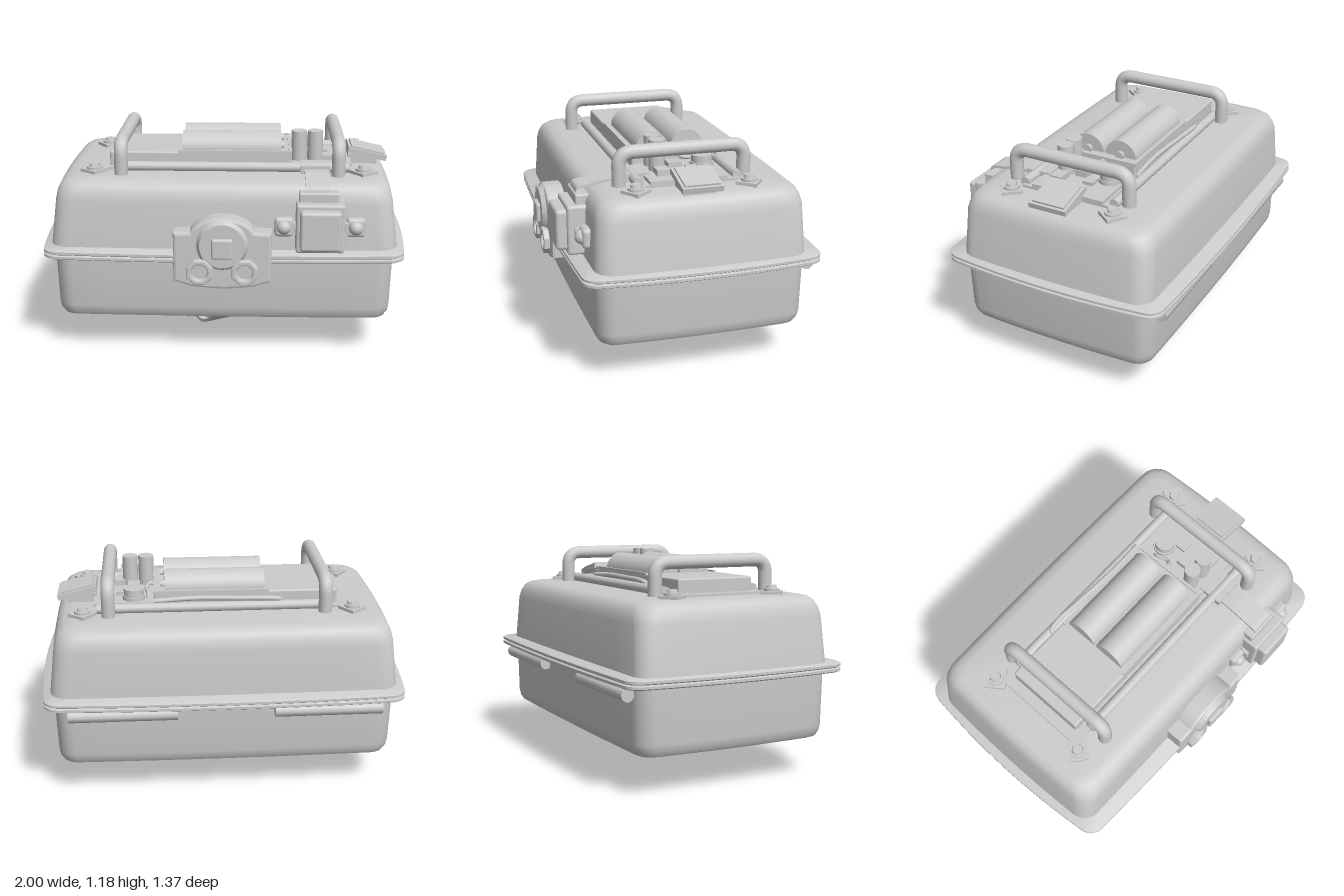
import * as THREE from 'three';
import { toCreasedNormals } from 'three/addons/utils/BufferGeometryUtils.js';
import { RoundedBoxGeometry } from 'three/addons/geometries/RoundedBoxGeometry.js';

const grey = new THREE.MeshStandardMaterial({ color: 0xcccccc });
const sheet = new THREE.MeshStandardMaterial({ color: 0xcccccc, side: THREE.DoubleSide });

export function createModel() {
  const model = new THREE.Group();
  const V = (x, y, z) => new THREE.Vector3(x, y, z);

  function add(name, geometry, x = 0, y = 0, z = 0, parent = model, material = grey) {
    const mesh = new THREE.Mesh(geometry, material);
    mesh.name = name;
    mesh.position.set(x, y, z);
    parent.add(mesh);
    return mesh;
  }
  // box given by its limits along each axis
  function block(name, x0, x1, y0, y1, z0, z1, r = 0) {
    const s = [x1 - x0, y1 - y0, z1 - z0];
    const g = r ? new RoundedBoxGeometry(...s, 2, r) : new THREE.BoxGeometry(...s);
    return add(name, g, (x0 + x1) / 2, (y0 + y1) / 2, (z0 + z1) / 2);
  }
  const post = (name, x, z, r, y0, y1, sides = 20, rTop = r) =>
    add(name, new THREE.CylinderGeometry(rTop, r, y1 - y0, sides), x, (y0 + y1) / 2, z);
  function extrude(shape, depth, bevel = 0.01) {
    return new THREE.ExtrudeGeometry(shape, { depth: depth - 2 * bevel, bevelEnabled: bevel > 0,
      bevelSize: bevel, bevelThickness: bevel, bevelOffset: -bevel, bevelSegments: 2, curveSegments: 20 })
      .translate(0, 0, bevel);
  }

  // rounded rectangle whose sides bow gently outwards
  function outline(hx, hz, r, bow) {
    const arcs = [];
    for (let c = 0; c < 4; c++) {
      const sx = c === 0 || c === 3 ? 1 : -1, sz = c < 2 ? 1 : -1;
      for (let k = 0; k <= 6; k++) {
        const a = (c + k / 6) * Math.PI / 2;
        arcs.push([sx * (hx - r) + r * Math.cos(a), sz * (hz - r) + r * Math.sin(a)]);
      }
    }
    const pts = [];
    arcs.forEach((p, i) => {
      const q = arcs[(i + 1) % arcs.length], n = i % 7 === 6 ? 8 : 1;
      for (let k = 0; k < n; k++) {
        const x = p[0] + (q[0] - p[0]) * k / n, z = p[1] + (q[1] - p[1]) * k / n;
        pts.push([x * (1 + bow * (1 - (z / hz) ** 2)), z * (1 + bow * (1 - (x / hx) ** 2))]);
      }
    });
    return pts;
  }
  // closed solid through sections of [y, half width, half depth, corner radius]
  function loft(sections, bow) {
    const pos = [], idx = [];
    const rings = sections.map(([y, hx, hz, r]) => outline(hx, hz, r, bow).map(([x, z]) => [x, y, z]));
    const n = rings[0].length, top = (rings.length - 1) * n;
    rings.flat().forEach(p => pos.push(...p));
    for (let s = 0; s < rings.length - 1; s++) for (let i = 0; i < n; i++) {
      const a = s * n + i, b = s * n + (i + 1) % n;
      idx.push(a, a + n, b, b, a + n, b + n);
    }
    const c = rings.length * n;
    pos.push(0, sections[0][0], 0, 0, sections.at(-1)[0], 0);
    for (let i = 0; i < n; i++) {
      const j = (i + 1) % n;
      idx.push(c, i, j, c + 1, top + j, top + i);
    }
    const g = new THREE.BufferGeometry();
    g.setAttribute('position', new THREE.Float32BufferAttribute(pos, 3));
    g.setIndex(idx);
    return toCreasedNormals(g, 0.6);
  }

  // case: tub, lid and the two flanges between them
  add('tub', loft([[0.2, 0.86, 0.51, 0.06], [0.21, 0.885, 0.535, 0.08], [0.235, 0.9, 0.55, 0.09],
    [0.27, 0.905, 0.557, 0.09], [0.57, 0.913, 0.56, 0.09]], 0.02), 0, 0, -0.03);
  add('lid', loft([[0.6, 0.932, 0.562, 0.09], [0.86, 0.9, 0.548, 0.09], [0.905, 0.89, 0.54, 0.1],
    [0.94, 0.873, 0.522, 0.1], [0.96, 0.845, 0.495, 0.09], [0.968, 0.8, 0.45, 0.07]], 0.02), 0, 0, -0.03);
  const flange = y => loft([[y, 0.948, 0.623, 0.07], [y + 0.006, 0.957, 0.632, 0.07],
    [y + 0.019, 0.957, 0.632, 0.07], [y + 0.025, 0.948, 0.623, 0.07]], 0.044);
  [0.56, 0.585].forEach(y => add('rimFlange', flange(y), 0, 0, -0.03));

  // hinge barrels at the back
  for (const s of [-1, 1]) {
    add('hinge', new THREE.CylinderGeometry(0.036, 0.036, 0.58, 10).rotateZ(Math.PI / 2), s * 0.55, 0.52, -0.622);
  }

  // carrying handles, posts planted in the lid
  const rr = 0.075, zf = 0.345, zb = -0.33, yt = 1.142;
  for (const x of [-0.56, 0.617]) {
    const path = new THREE.CurvePath();
    path.add(new THREE.LineCurve3(V(x, 0.95, zf), V(x, yt - rr, zf)));
    path.add(new THREE.QuadraticBezierCurve3(V(x, yt - rr, zf), V(x, yt, zf), V(x, yt, zf - rr)));
    path.add(new THREE.LineCurve3(V(x, yt, zf - rr), V(x, yt, zb + rr)));
    path.add(new THREE.QuadraticBezierCurve3(V(x, yt, zb + rr), V(x, yt, zb), V(x, yt - rr, zb)));
    path.add(new THREE.LineCurve3(V(x, yt - rr, zb), V(x, 0.95, zb)));
    add('handle', new THREE.TubeGeometry(path, 64, 0.037, 14));
  }

  // top deck with side rails and bolted corner tabs
  block('deckPlate', -0.7, 0.7, 0.96, 0.982, -0.28, 0.26);
  block('tray', -0.64, 0.37, 0.97, 1.06, -0.235, 0.21, 0.01);
  block('trayRim', -0.26, 0.37, 1.05, 1.068, -0.235, -0.218);
  block('trayRim', -0.26, 0.37, 1.05, 1.068, 0.195, 0.21);
  block('trayRim', 0.352, 0.37, 1.05, 1.068, -0.235, 0.21);
  block('controlPlate', 0.37, 0.7, 0.97, 1.0, -0.22, 0.2);
  for (const z of [-0.275, 0.255]) {
    add('sideRail', new THREE.CylinderGeometry(0.027, 0.027, 1.26, 12).rotateZ(Math.PI / 2), 0.05, 0.99, z);
  }
  for (const sx of [-1, 1]) for (const sz of [-1, 1]) {
    const x = 0.022 + sx * 0.735, z = -0.01 + sz * 0.3;
    const tab = block('cornerTab', x - 0.055, x + 0.055, 0.96, 0.985, z - 0.055, z + 0.055);
    tab.rotation.y = sx * sz * 0.65;
    post('boltBase', x, z, 0.043, 0.98, 0.997, 16);
    post('bolt', x, z, 0.034, 0.995, 1.015, 6, 0.028);
  }

  // twin cylinders lying in the tray
  for (const z of [-0.115, 0.08]) {
    add('trayCylinder', new THREE.CylinderGeometry(0.092, 0.092, 0.55, 28).rotateZ(Math.PI / 2), 0.035, 1.06, z);
    add('cylinderTip', new THREE.CylinderGeometry(0.025, 0.025, 0.02, 12).rotateZ(Math.PI / 2), 0.32, 1.07, z);
  }

  // controls beside the tray
  for (const x of [0.41, 0.5]) post('terminal', x, 0.11, 0.043, 0.99, 1.165, 20);
  post('knobBase', 0.48, -0.145, 0.062, 0.99, 1.02);
  post('knob', 0.48, -0.145, 0.055, 1.015, 1.06);
  block('switch', 0.445, 0.515, 0.99, 1.035, -0.025, 0.05);
  block('switch', 0.52, 0.58, 0.99, 1.02, -0.095, -0.035);
  block('switch', 0.53, 0.62, 0.99, 1.03, 0.07, 0.14);
  const wire = (name, pts, r) =>
    add(name, new THREE.TubeGeometry(new THREE.CatmullRomCurve3(pts), 32, r, 8), 0, 0, 0, model, sheet);
  wire('wireLoop', [V(0.36, 1.04, -0.05), V(0.385, 1.05, -0.04), V(0.41, 1.03, -0.06),
    V(0.4, 1.02, -0.13), V(0.4, 1.0, -0.15)], 0.01);
  wire('cable', [V(-0.32, 0.99, -0.235), V(-0.32, 1.02, -0.265), V(-0.26, 1.03, -0.275), V(-0.1, 1.03, -0.265),
    V(0.15, 1.03, -0.25), V(0.37, 1.02, -0.255)], 0.014);

  // tilted panel on the side of the lid
  block('panelBase', 0.69, 0.85, 0.96, 1.02, -0.1, 0.07);
  const panel = new THREE.Group();
  panel.name = 'tiltedPanel';
  panel.position.set(0.795, 1.025, -0.015);
  panel.rotation.z = -0.22;
  model.add(panel);
  add('panelPlate', new THREE.BoxGeometry(0.22, 0.03, 0.215), 0, 0, 0, panel);
  add('panelFace', new THREE.BoxGeometry(0.19, 0.01, 0.185), 0, 0.02, 0, panel);

  // front latch: back plate, disc, centre button and two eyelets
  const plate = new THREE.Shape();
  plate.moveTo(-0.17, 0.43);
  plate.quadraticCurveTo(0, 0.405, 0.17, 0.43);
  plate.lineTo(0.26, 0.46);
  plate.lineTo(0.26, 0.73);
  plate.lineTo(0.17, 0.735);
  plate.bezierCurveTo(0.11, 0.835, -0.11, 0.835, -0.17, 0.735);
  plate.lineTo(-0.26, 0.73);
  plate.lineTo(-0.26, 0.46);
  add('latchPlate', extrude(plate, 0.12, 0.015), 0, 0, 0.515);
  add('latchDisc', new THREE.CylinderGeometry(0.12, 0.14, 0.03, 32).rotateX(Math.PI / 2), 0, 0.665, 0.645);
  block('latchButton', -0.056, 0.056, 0.6, 0.71, 0.63, 0.682, 0.012);
  for (const s of [-1, 1]) {
    const ring = new THREE.Shape();
    for (let k = 0; k < 8; k++) {
      const a = (k + 0.5) * Math.PI / 4;
      ring[k ? 'lineTo' : 'moveTo'](0.075 * Math.cos(a), 0.075 * Math.sin(a));
    }
    ring.holes.push(new THREE.Path().absarc(0, 0, 0.042, 0, Math.PI * 2, true));
    add('eyelet', extrude(ring, 0.04, 0.008), s * 0.12, 0.52, 0.628);
    const arm = add('eyeletArm', new THREE.BoxGeometry(0.05, 0.12, 0.025), s * 0.075, 0.59, 0.645);
    arm.rotation.z = s * 0.55;
  }

  // small box on the front with ears, hung from a strap over the lid edge
  block('pouch', 0.385, 0.64, 0.62, 0.885, 0.5, 0.62, 0.015);
  block('pouchFace', 0.405, 0.62, 0.645, 0.86, 0.6, 0.675, 0.018);
  block('pouchBuckle', 0.4, 0.61, 0.87, 0.935, 0.49, 0.57, 0.01);
  for (const s of [-1, 1]) {
    const x = 0.513 + s * 0.19;
    block('pouchEar', x - 0.05, x + 0.05, 0.69, 0.795, 0.5, 0.565, 0.02);
    add('earStud', new THREE.SphereGeometry(0.038, 16, 10), x, 0.743, 0.56);
    block('earLink', 0.513 + s * 0.13 - 0.02, 0.513 + s * 0.13 + 0.02, 0.71, 0.775, 0.5, 0.585);
  }
  // ribbon with the given [z, y] centre line, extruded along x
  function ribbon(pts, thickness, width) {
    const curve = new THREE.SplineCurve(pts.map(p => new THREE.Vector2(...p)));
    const line = curve.getPoints(32), under = line.map(p => new THREE.Vector2(p.x, p.y + thickness)).reverse();
    const g = extrude(new THREE.Shape([...line, ...under]), width, 0);
    return toCreasedNormals(g.translate(0, 0, -width / 2).rotateY(-Math.PI / 2), 0.6);
  }
  add('pouchStrap', ribbon([[0.56, 0.92], [0.545, 0.95], [0.48, 0.962], [0.38, 0.978], [0.28, 0.98]],
    0.014, 0.13), 0.5, 0, 0, model, sheet);
  block('strapAnchor', 0.415, 0.575, 0.96, 1.01, 0.17, 0.31);

  // sling under the tub holding a roller, set at an angle
  const sling = new THREE.Group();
  sling.name = 'undersideSling';
  sling.rotation.y = 0.5;
  model.add(sling);
  const sag = [[0.4, 0.2], [0.23, 0.125], [0.12, 0.04], [0.04, 0], [-0.05, 0], [-0.14, 0.035],
    [-0.24, 0.12], [-0.33, 0.165], [-0.46, 0.2]];
  add('slingSheet', ribbon(sag, 0.018, 0.36), 0, 0, 0, sling, sheet);
  add('slingLining', ribbon(sag.map(([z, y]) => [z * 0.94, y + 0.025]), 0.012, 0.3), 0, 0, 0, sling, sheet);
  add('roller', new THREE.CylinderGeometry(0.076, 0.076, 0.52, 20).rotateZ(Math.PI / 2), 0, 0.112, -0.01, sling);

  return model;
}
